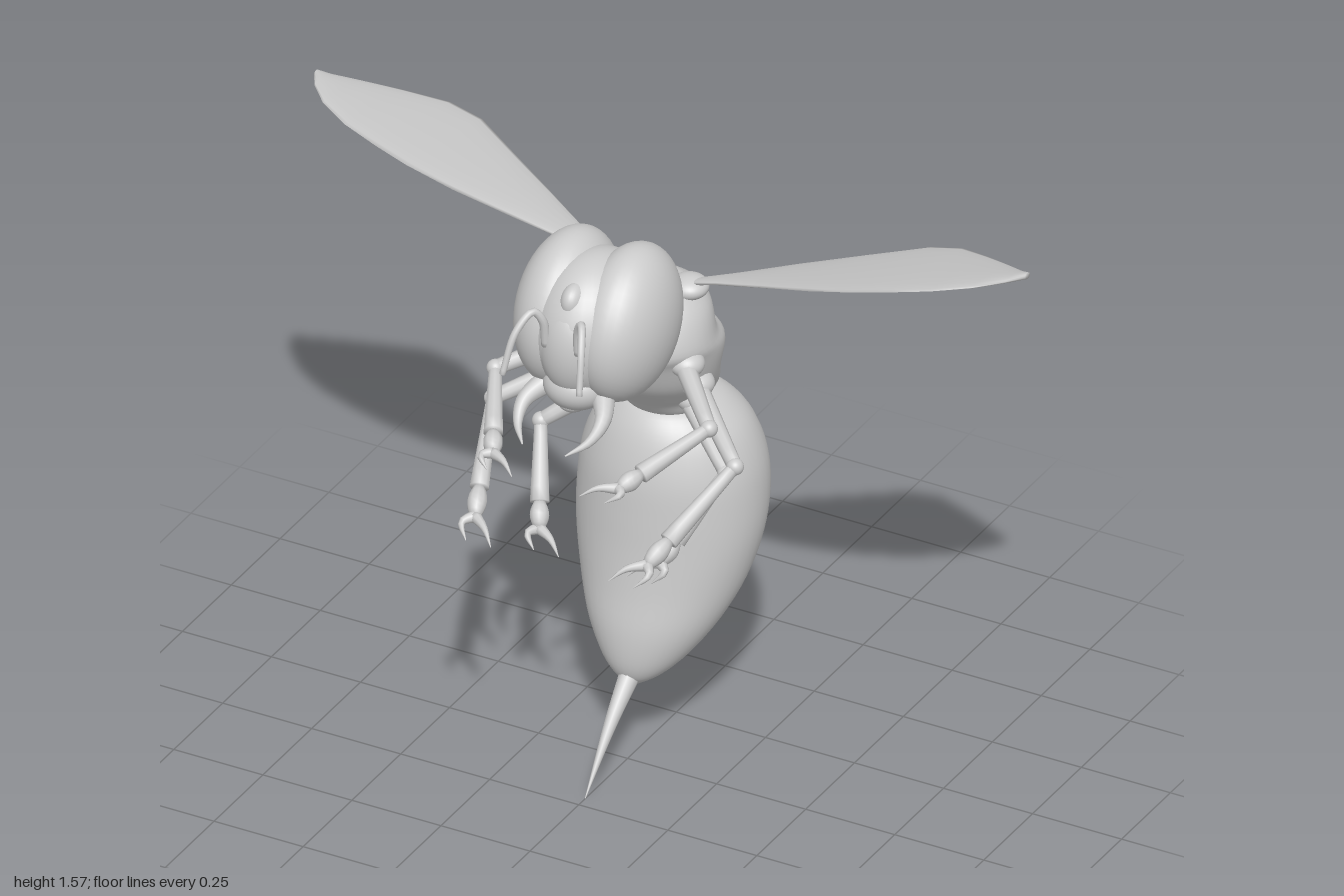
import * as THREE from 'three';

const V = (x, y, z) => new THREE.Vector3(x, y, z);
const material = new THREE.MeshStandardMaterial({ color: 0xcccccc });

function mesh(name, geometry, parent) {
  const m = new THREE.Mesh(geometry, material);
  m.name = name;
  parent.add(m);
  return m;
}

// Closed skin over a list of equal-length point rings, capped at both ends
function loft(rings) {
  const n = rings[0].length, last = rings.length - 1, pts = rings.flat(), index = [];
  for (let i = 0; i < last; i++) for (let j = 0; j < n; j++) {
    const a = i * n + j, b = i * n + (j + 1) % n;
    index.push(a, b, a + n, b, b + n, a + n);
  }
  for (const [r, flip] of [[0, true], [last, false]]) {
    const c = pts.length;
    pts.push(rings[r].reduce((s, p) => s.add(p), V(0, 0, 0)).divideScalar(n));
    for (let j = 0; j < n; j++) {
      const a = r * n + j, b = r * n + (j + 1) % n;
      index.push(c, flip ? b : a, flip ? a : b);
    }
  }
  // turn all faces outward
  let volume = 0;
  for (let i = 0; i < index.length; i += 3)
    volume += pts[index[i]].dot(pts[index[i + 1]].clone().cross(pts[index[i + 2]]));
  if (volume < 0) index.reverse();
  const g = new THREE.BufferGeometry().setFromPoints(pts);
  g.setIndex(index);
  g.computeVertexNormals();
  return g;
}

// Body from rows [y, front z, back z, half width]; groove dents the back's middle line
function body(rows, steps, groove = 0) {
  const front = new THREE.CatmullRomCurve3(rows.map(r => V(r[3], r[0], r[1])), false, 'catmullrom');
  const back = new THREE.CatmullRomCurve3(rows.map(r => V(r[3], r[0], r[2])), false, 'catmullrom');
  const rings = [];
  for (let i = 0; i <= steps; i++) {
    const f = front.getPoint(i / steps), b = back.getPoint(i / steps), ring = [];
    for (let j = 0; j < 40; j++) {
      const a = j / 40 * Math.PI * 2, x = f.x * Math.sin(a), c = Math.cos(a);
      const dent = c < 0 ? groove * Math.exp(-((x / 0.03) ** 2)) : 0;
      ring.push(V(x, f.y, (f.z + b.z) / 2 + (f.z - b.z) / 2 * c + dent));
    }
    rings.push(ring);
  }
  return loft(rings);
}

// Tapering round limb along a smooth path; radius is a function of t
function limb(points, radius, steps = 14, sides = 10) {
  const curve = new THREE.CatmullRomCurve3(points);
  const { normals, binormals } = curve.computeFrenetFrames(steps);
  const rings = [];
  for (let i = 0; i <= steps; i++) {
    const t = i / steps, p = curve.getPointAt(t), ring = [];
    for (let j = 0; j < sides; j++) {
      const a = j / sides * Math.PI * 2;
      ring.push(p.clone().addScaledVector(normals[i], Math.cos(a) * radius(t))
        .addScaledVector(binormals[i], Math.sin(a) * radius(t)));
    }
    rings.push(ring);
  }
  return loft(rings);
}

function ball(name, parent, pos, size, tilt = 0) {
  const m = mesh(name, new THREE.SphereGeometry(1, 36, 24), parent);
  m.position.set(...pos);
  m.scale.set(...size);
  m.rotation.x = tilt;
  return m;
}

// Thin cambered blade for the side s
function wing(s) {
  // x, front z, back z
  const rows = [[0.11, -0.1, -0.135], [0.2, -0.085, -0.17], [0.35, -0.045, -0.25], [0.5, -0.015, -0.33],
    [0.63, -0.012, -0.405], [0.72, -0.025, -0.405], [0.82, -0.05, -0.35], [0.91, -0.1, -0.295],
    [0.97, -0.165, -0.255], [0.998, -0.215, -0.24]];
  const rings = rows.map(([x, f, b]) => {
    const ring = [];
    for (let j = 0; j < 16; j++) {
      const a = j / 16 * Math.PI * 2, z = (f + b) / 2 + (f - b) / 2 * Math.cos(a);
      const y = 1.31 + 0.36 * x - 0.08 * x * x + 0.2 * (z + 0.1);
      ring.push(V(s * x, y + 0.009 * Math.sin(a), z));
    }
    return ring;
  });
  return loft(rings);
}

// Jointed leg: hip, knee and toe, with a forked claw
function leg(name, hip, knee, toe, s, parent) {
  const g = new THREE.Group();
  g.name = name;
  parent.add(g);
  const flip = p => V(p[0] * s, p[1], p[2]);
  const h = flip(hip), k = flip(knee), t = flip(toe);
  const ankle = k.clone().lerp(t, 0.62), foot = k.clone().lerp(t, 0.82);
  mesh('thigh', limb([h, k], u => 0.027 - 0.008 * u, 6), g);
  ball('knee', g, k.toArray(), [0.022, 0.022, 0.022]);
  mesh('shin', limb([k, ankle], u => 0.016 + 0.009 * u, 6), g);
  mesh('ankle', limb([ankle, foot], u => 0.014 + 0.011 * Math.sin(u * Math.PI), 6), g);
  // claws curl inward at the tip
  for (const e of [-1, 1]) {
    const mid = foot.clone().lerp(t, 0.5).add(V(e * 0.032, 0.01, 0));
    const tip = t.clone().add(V(e * 0.035 - s * 0.02, 0, 0));
    mesh('claw', limb([foot, mid, tip], u => 0.015 * (1 - u) + 0.001, 8, 8), g);
  }
}

export function createModel() {
  const model = new THREE.Group();
  model.name = 'wasp';

  mesh('abdomen', body([
    [0.957, -0.19, -0.25, 0.03], [0.95, -0.12, -0.325, 0.1], [0.925, -0.085, -0.375, 0.15],
    [0.87, -0.055, -0.42, 0.2], [0.78, -0.03, -0.452, 0.234], [0.68, -0.02, -0.455, 0.245],
    [0.58, -0.012, -0.43, 0.24], [0.47, 0.002, -0.385, 0.215], [0.37, 0.02, -0.305, 0.173],
    [0.29, 0.022, -0.215, 0.12], [0.24, 0.01, -0.13, 0.07], [0.21, -0.015, -0.05, 0.02]], 44), model);
  mesh('stinger', limb([V(0, 0.245, -0.02), V(0, 0.15, 0.085), V(0, 0.002, 0.217)],
    u => 0.027 * (1 - u) + 0.001), model);
  ball('waist', model, [0, 0.95, -0.22], [0.08, 0.05, 0.08]);

  mesh('thorax', body([
    [1.365, -0.09, -0.15, 0.03], [1.345, -0.02, -0.18, 0.1], [1.29, 0.045, -0.238, 0.16],
    [1.21, 0.08, -0.247, 0.185], [1.16, 0.06, -0.298, 0.185], [1.08, 0.02, -0.298, 0.165],
    [1.02, -0.035, -0.328, 0.14], [0.985, -0.07, -0.338, 0.12], [0.945, -0.105, -0.27, 0.1],
    [0.92, -0.13, -0.19, 0.04]], 44, 0.025), model);
  ball('neck', model, [0, 1.28, 0.01], [0.1, 0.1, 0.1]);

  // head and face
  const head = new THREE.Group();
  head.name = 'head';
  model.add(head);
  ball('skull', head, [0, 1.35, 0.165], [0.15, 0.195, 0.185]);
  ball('facePlate', head, [0, 1.34, 0.28], [0.085, 0.13, 0.075]);
  ball('brow', head, [0, 1.46, 0.26], [0.035, 0.05, 0.06], -0.6);
  ball('muzzle', head, [0, 1.225, 0.26], [0.085, 0.065, 0.08]);
  ball('lip', head, [0, 1.185, 0.27], [0.04, 0.03, 0.05]);

  for (const s of [-1, 1]) {
    const side = s > 0 ? 'left' : 'right';
    ball(side + 'Eye', head, [s * 0.085, 1.367, 0.15], [0.119, 0.203, 0.173], -0.5);
    mesh(side + 'Antenna', limb([V(s * 0.045, 1.36, 0.335), V(s * 0.05, 1.435, 0.345),
      V(s * 0.068, 1.462, 0.36), V(s * 0.092, 1.42, 0.405), V(s * 0.108, 1.315, 0.445)],
      u => 0.012 - 0.004 * u, 24), head);
    mesh(side + 'Mandible', limb([V(s * 0.075, 1.215, 0.26), V(s * 0.11, 1.18, 0.33),
      V(s * 0.1, 1.145, 0.38), V(s * 0.06, 1.12, 0.43)], u => 0.03 * (1 - u) + 0.002), head);

    mesh(side + 'Wing', wing(s), model);
    ball(side + 'WingRoot', model, [s * 0.11, 1.335, -0.115], [0.05, 0.03, 0.05]);

    // hip, knee, toe of each leg
    leg(side + 'FrontLeg', [0.14, 1.17, -0.03], [0.3, 1.11, 0.13], [0.15, 1.01, 0.42], s, model);
    leg(side + 'MiddleLeg', [0.14, 1.08, -0.09], [0.34, 0.98, 0.07], [0.22, 0.775, 0.4], s, model);
    leg(side + 'HindLeg', [0.1, 1.0, -0.13], [0.26, 0.885, -0.03], [0.15, 0.65, 0.18], s, model);
    [[0.15, 1.17, -0.03], [0.145, 1.08, -0.09], [0.11, 1.0, -0.14]].forEach(([x, y, z]) =>
      ball(side + 'Hip', model, [s * x, y, z], [0.045, 0.035, 0.045]));
  }
  return model;
}
